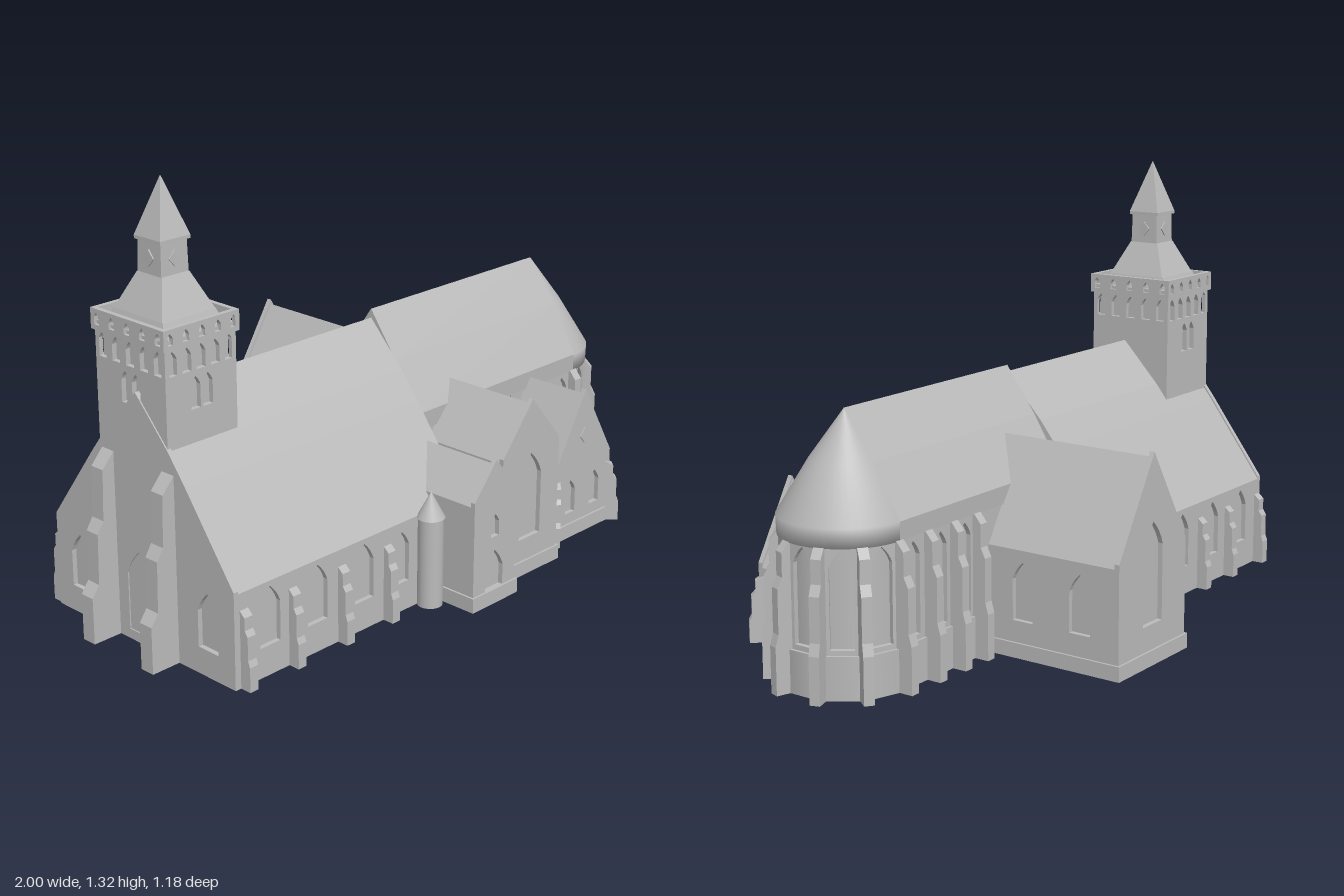
import * as THREE from 'three';

const T = 0.015; // depth of window recesses
const stone = new THREE.MeshStandardMaterial({ color: 0xbbbbbb });
stone.name = 'stone grey';

function add(parent, name, geo, x = 0, y = 0, z = 0, ry = 0) {
  const m = new THREE.Mesh(geo, stone);
  m.name = name;
  m.position.set(x, y, z);
  m.rotation.y = ry;
  parent.add(m);
  return m;
}

const box = (w, h, d) => new THREE.BoxGeometry(w, h, d).translate(0, h / 2, 0);
const shapeOf = pts => new THREE.Shape(pts.map(p => new THREE.Vector2(...p)));
const extrude = (shape, depth) =>
  new THREE.ExtrudeGeometry(shape, { depth, bevelEnabled: false, curveSegments: 4 });

// Pointed window opening: centre, sill, width, height
function lancet([u, y, w, h]) {
  const p = new THREE.Path(), s = y + h - w * 0.75, r = w / 2;
  p.moveTo(u - r, y);
  p.lineTo(u + r, y);
  p.lineTo(u + r, s);
  p.quadraticCurveTo(u + r * 0.75, s + w * 0.4, u, y + h);
  p.quadraticCurveTo(u - r * 0.75, s + w * 0.4, u - r, s);
  p.closePath();
  return p;
}

// Wall facing with pointed openings; its outer side is local +z
function panel(outline, windows = [], depth = T) {
  const s = shapeOf(outline);
  s.holes = windows.map(lancet);
  return extrude(s, depth);
}
const rect = (a, b, y0, y1) => [[a, y0], [b, y0], [b, y1], [a, y1]];

// Gabled block along local z, with its gable at z1; roof lists [offset, height] from eave to ridge
function house(parent, name, o) {
  const { half, roof, z0, z1, gable = [], right = [], left = [], front = true, coping = 0.015, plinth = true } = o;
  const g = new THREE.Group();
  g.name = name;
  g.position.set(o.x || 0, 0, o.z || 0);
  g.rotation.y = o.turn || 0;
  parent.add(g);
  const eave = roof[0][1], end = front ? z1 - T : z1;
  const mirrored = roof.slice(0, -1).reverse().map(([x, y]) => [-x, y]);
  const c = half - T;
  add(g, 'bodyAndRoof', extrude(shapeOf([[-c, 0], [c, 0], [c, eave], ...roof, ...mirrored, [-c, eave]]), end - z0), 0, 0, z0);
  if (front) {
    const up = [...roof, ...mirrored].map(([x, y]) => [x, y + coping]);
    add(g, 'gableWall', panel([[-half, 0], [half, 0], ...up], gable), 0, 0, end);
  }
  const flip = w => [-w[0], w[1], w[2], w[3]];
  add(g, 'sideWall', panel(rect(-end, -z0, 0, eave), right.map(flip)), c, 0, 0, Math.PI / 2);
  add(g, 'sideWall', panel(rect(z0, end, 0, eave), left), -c, 0, 0, -Math.PI / 2);
  if (plinth) add(g, 'plinth', box(half * 2 + 0.014, 0.045, z1 - z0 + 0.007), 0, 0, (z0 + z1 + 0.007) / 2);
  return g;
}

// Stepped buttress pointing along (sin a, cos a)
function buttress(parent, x, z, a, h, d, w = 0.03) {
  const s = shapeOf([[-0.02, 0], [d, 0], [d, h * 0.32], [d * 0.8, h * 0.4], [d * 0.8, h * 0.7],
    [d * 0.5, h * 0.77], [d * 0.5, h * 0.93], [0, h], [-0.02, h]]);
  add(parent, 'buttress', extrude(s, w).translate(0, 0, -w / 2), x, 0, z, a - Math.PI / 2);
}

// Four-sided tapering block with crisp edges
function taper(bottom, top, y0, y1, zScale = 1) {
  const k = Math.SQRT2;
  const geo = new THREE.CylinderGeometry(top * k, bottom * k, y1 - y0, 4, 1)
    .rotateY(Math.PI / 4).scale(1, 1, zScale).translate(0, (y0 + y1) / 2, 0).toNonIndexed();
  geo.computeVertexNormals();
  return geo;
}

// Four faced walls around a rectangular core
function wallRing(parent, name, hx, hz, y0, y1, windows) {
  for (let k = 0; k < 4; k++) {
    const w = k % 2 ? hz : hx, d = (k % 2 ? hx : hz) - T, a = k * Math.PI / 2;
    add(parent, name, panel(rect(-w, w, y0, y1), windows(w, k)), Math.sin(a) * d, 0, Math.cos(a) * d, a);
  }
}

function buildTower(root) {
  const g = new THREE.Group();
  g.name = 'tower';
  g.position.set(-0.775, 0, 0.035);
  root.add(g);
  const hx = 0.126, hz = 0.143, five = [-2, -1, 0, 1, 2];
  add(g, 'towerCore', box((hx - T) * 2, 0.92, (hz - T) * 2));
  wallRing(g, 'towerWall', hx, hz, 0, 0.9, (w, k) => [
    ...five.map(i => [i * w * 0.4, 0.82, 0.032, 0.07]),
    ...(k === 1 ? [] : [-0.022, 0.022].map(u => [u, 0.71, 0.034, 0.092])),
  ]);
  add(g, 'parapetFloor', box(0.25, 0.025, 0.28), 0, 0.895, 0);
  wallRing(g, 'parapet', 0.134, 0.15, 0.895, 0.955, w => five.map(i => [i * w * 0.42, 0.91, 0.022, 0.034]));
  // Flared roof, lantern and spire
  add(g, 'flaredRoof', taper(0.107, 0.093, 0.915, 0.957, 1.1));
  add(g, 'flaredRoof', taper(0.093, 0.048, 0.957, 1.06, 1.06));
  add(g, 'lantern', taper(0.048, 0.046, 1.06, 1.152));
  add(g, 'spireLip', taper(0.053, 0.053, 1.15, 1.16));
  add(g, 'spire', taper(0.053, 0.0005, 1.16, 1.322));
  const diamond = panel([[0, -0.024], [0.021, 0], [0, 0.024], [-0.021, 0]], [], 0.006);
  for (let k = 0; k < 4; k++) {
    const a = k * Math.PI / 2;
    add(g, 'diamondWindow', diamond, Math.sin(a) * 0.045, 1.105, Math.cos(a) * 0.045, a);
  }
}

function buildNave(root) {
  const bays = [[0.775, 0.09, 0.075, 0.175], [0.595, 0.09, 0.075, 0.175], [0.41, 0.09, 0.075, 0.175], [0.255, 0.09, 0.06, 0.16]];
  house(root, 'nave', {
    z: 0.055, turn: -Math.PI / 2, half: 0.375, z0: -0.01, z1: 0.905, coping: 0.008, plinth: false,
    roof: [[0.375, 0.28], [0.19, 0.53], [0.125, 0.612], [0, 0.745]],
    right: bays, left: bays,
    gable: [[-0.27, 0.08, 0.08, 0.17], [0.27, 0.08, 0.08, 0.17], [-0.01, 0.03, 0.1, 0.25]],
  });
  for (const x of [-0.87, -0.69, -0.5, -0.315]) buttress(root, x, 0.43, 0, 0.23, 0.036);
  for (const x of [-0.885, -0.69, -0.52, -0.34, -0.165]) buttress(root, x, -0.32, Math.PI, 0.23, 0.036);
  // Large western buttresses
  const s = shapeOf([[-0.88, 0], [-0.88, 0.555], [-0.905, 0.555], [-0.945, 0.51], [-0.95, 0.36],
    [-0.972, 0.325], [-0.975, 0.175], [-1, 0.14], [-1, 0]]);
  for (const z of [-0.095, 0.155]) add(root, 'westButtress', extrude(s, 0.048), 0, 0, z);
  // Round stair turret
  add(root, 'turret', new THREE.CylinderGeometry(0.038, 0.038, 0.28, 20), -0.16, 0.14, 0.455);
  add(root, 'turretRoof', new THREE.ConeGeometry(0.042, 0.08, 20), -0.16, 0.315, 0.455);
}

function buildChancel(root) {
  const cx = 0.77, cz = 0.045;
  house(root, 'chancel', {
    z: cz, turn: Math.PI / 2, half: 0.185, z0: 0.02, z1: cx, front: false, plinth: false,
    roof: [[0.19, 0.425], [0.192, 0.48], [0.1, 0.63], [0, 0.768]],
    right: [0.478, 0.588, 0.708].map(x => [x, 0.14, 0.056, 0.27]),
    left: [[0.46, 0.32, 0.06, 0.1], [0.635, 0.32, 0.06, 0.1], [0.72, 0.14, 0.05, 0.27]],
  });
  add(root, 'chancelPlinth', box(0.75, 0.125, 0.385), 0.4, 0, cz);
  for (const x of [0.425, 0.53, 0.645, 0.77]) buttress(root, x, -0.143, Math.PI, 0.43, 0.05);
  buttress(root, cx, 0.233, 0, 0.43, 0.05);
  // Five-sided apse
  const R = 0.19, ap = R * Math.cos(Math.PI / 10), half = R * Math.sin(Math.PI / 10);
  const prism = (r, h) => new THREE.CylinderGeometry(r, r, h, 10).translate(0, h / 2, 0);
  add(root, 'apseCore', prism((ap - T) / Math.cos(Math.PI / 10), 0.43), cx, 0, cz);
  add(root, 'apsePlinth', prism(R + 0.009, 0.125), cx, 0, cz);
  for (let k = -2; k <= 2; k++) {
    const a = Math.PI / 2 + k * Math.PI / 5;
    add(root, 'apseWall', panel(rect(-half, half, 0, 0.43), [[0, 0.14, 0.066, 0.28]]),
      cx + Math.sin(a) * (ap - T), 0, cz + Math.cos(a) * (ap - T), a);
  }
  for (const k of [-1.5, -0.5, 0.5, 1.5]) {
    const a = Math.PI / 2 + k * Math.PI / 5;
    buttress(root, cx + Math.sin(a) * 0.187, cz + Math.cos(a) * 0.187, a, 0.43, 0.05);
  }
  const profile = [[0.15, 0.425], [0.19, 0.425], [0.192, 0.48], [0.1, 0.63], [0, 0.768]].map(p => new THREE.Vector2(...p));
  add(root, 'apseRoof', new THREE.LatheGeometry(profile, 24, 0, Math.PI), cx, 0, cz);
}

function buildWings(root) {
  house(root, 'northTransept', {
    x: 0.19, turn: Math.PI, half: 0.175, z0: -0.04, z1: 0.585, roof: [[0.175, 0.32], [0, 0.605]],
    gable: [[0, 0.12, 0.1, 0.3]],
    right: [[0.455, 0.11, 0.07, 0.175]],
    left: [[0.26, 0.11, 0.07, 0.175], [0.455, 0.11, 0.07, 0.175]],
  });
  house(root, 'southTransept', {
    x: 0.205, half: 0.13, z0: 0.08, z1: 0.525, roof: [[0.13, 0.385], [0, 0.54]],
    gable: [[0, 0.115, 0.096, 0.27]],
  });
  house(root, 'southPorch', {
    x: -0.025, half: 0.092, z0: 0.25, z1: 0.583, roof: [[0.092, 0.325], [0, 0.433]],
    gable: [[0, 0.012, 0.076, 0.155], [0, 0.21, 0.035, 0.07]],
  });
  house(root, 'northPorch', {
    x: -0.1, turn: Math.PI, half: 0.052, z0: 0.25, z1: 0.41, roof: [[0.052, 0.2], [0, 0.27]],
    gable: [[0, 0.06, 0.045, 0.12]], coping: 0.01,
  });
  const vestry = house(root, 'vestry', {
    x: 0.55, half: 0.137, z0: 0.12, z1: 0.457, roof: [[0.137, 0.225], [0, 0.46]],
    gable: [[-0.06, 0.08, 0.046, 0.11], [0.06, 0.08, 0.046, 0.11]],
    right: [[0.345, 0.08, 0.046, 0.11]], left: [[0.345, 0.08, 0.046, 0.11]],
  });
  add(vestry, 'diamondWindow', panel([[0, -0.026], [0.022, 0], [0, 0.026], [-0.022, 0]], [], 0.006), 0, 0.325, 0.455);
  for (const s of [-1, 1]) buttress(vestry, s * 0.13, 0.45, s * Math.PI / 4, 0.2, 0.042, 0.034);
  add(root, 'linkRoom', box(0.1, 0.15, 0.2), 0.375, 0, 0.29);
}

export function createModel() {
  const root = new THREE.Group();
  root.name = 'church';
  buildTower(root);
  buildNave(root);
  buildChancel(root);
  buildWings(root);
  return root;
}
